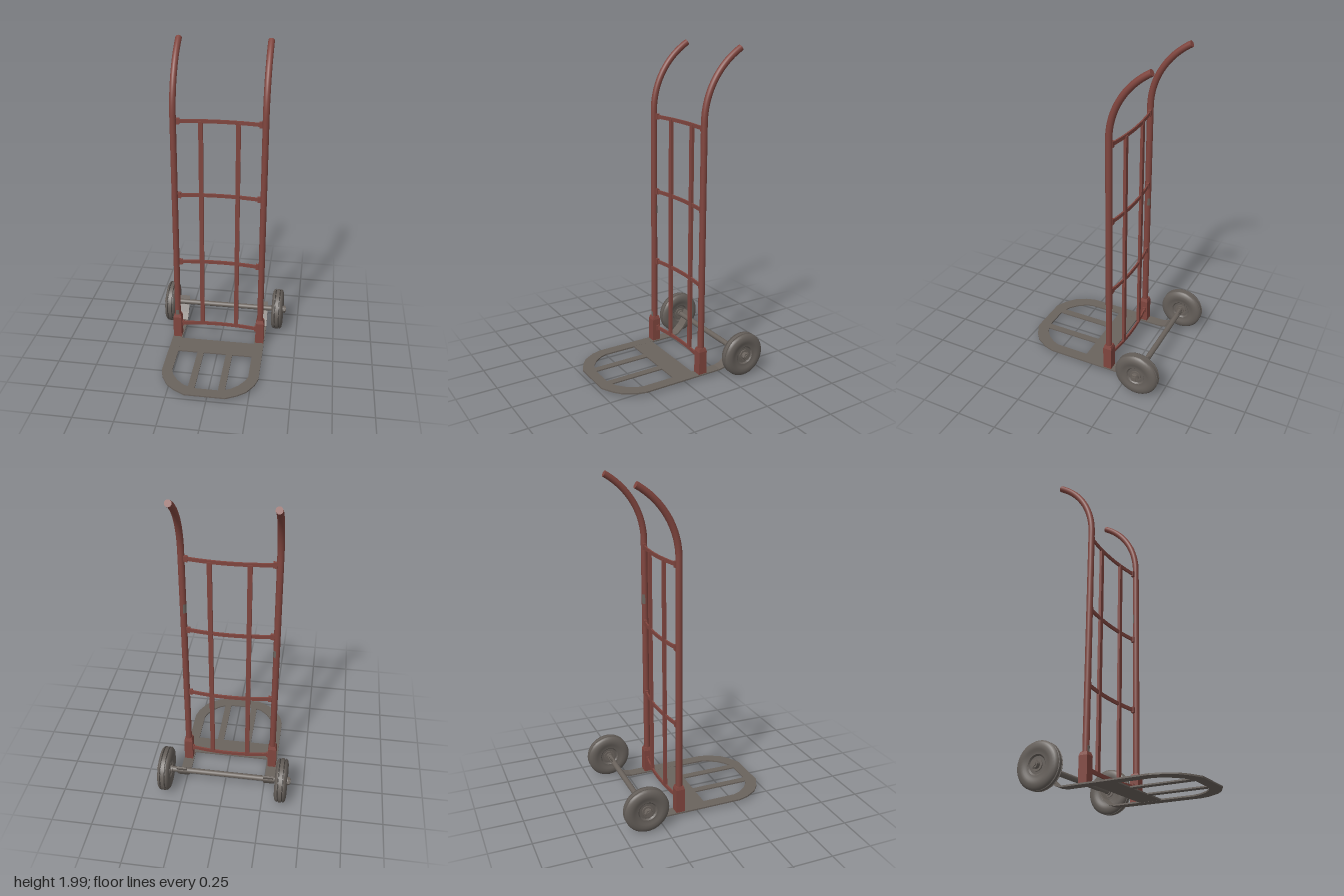
import * as THREE from 'three';
import { toCreasedNormals } from 'three/addons/utils/BufferGeometryUtils.js';

const CX = -0.01;         // frame centre line
const POST_X = 0.274;     // post offset from the centre line
const POST_Z = -0.117;
const AXLE = { y: 0.147, z: -0.355 };

const mat = (name, color, side = THREE.FrontSide) => {
  const m = new THREE.MeshStandardMaterial({ color, side });
  m.name = name;
  return m;
};

export function createModel() {
  const red = mat('worn red paint', 0x80453e);
  const steel = mat('bare steel', 0x6a635d);
  const rubber = mat('grey rubber', 0x645e59);
  const dark = mat('dark groove', 0x35312e);
  const root = new THREE.Group();
  root.name = 'handTruck';

  const add = (name, geo, material, x = 0, y = 0, z = 0, parent = root) => {
    const m = new THREE.Mesh(geo, material);
    m.name = name;
    m.position.set(x, y, z);
    parent.add(m);
    return m;
  };
  const box = (name, w, h, d, material, x, y, z) =>
    add(name, new THREE.BoxGeometry(w, h, d), material, x, y, z);
  // flat outline given as [x, z], raised by a height
  const slab = (outline, height, hole) => {
    const shape = new THREE.Shape(outline.map(([x, z]) => new THREE.Vector2(x, -z)));
    if (hole) shape.holes.push(new THREE.Path(hole.map(([x, z]) => new THREE.Vector2(x, -z))));
    return new THREE.ExtrudeGeometry(shape, { depth: height, bevelEnabled: false }).rotateX(-Math.PI / 2);
  };
  const mirrored = (half) => [...half, ...half.map(([x, z]) => [-x, z]).reverse()];

  // Toe plate: rounded U loop with rear panel and two slats
  const outer = [[0.305, -0.25], [0.305, 0.28], [0.288, 0.34], [0.245, 0.412], [0.195, 0.452], [0.125, 0.488]];
  const inner = [[0.24, -0.25], [0.24, 0.27], [0.226, 0.31], [0.19, 0.362], [0.145, 0.4], [0.085, 0.424]];
  const loop = [...mirrored(outer), ...mirrored(inner.map(([x, z]) => [-x, z]))];
  add('toePlateLoop', slab(loop, 0.009), steel, CX, 0.031, 0);
  box('toePlatePanel', 0.482, 0.008, 0.138, steel, CX, 0.0355, -0.008);
  for (const s of [-1, 1]) {
    box('toePlateSlat', 0.042, 0.008, 0.375, steel, CX + s * 0.093, 0.0355, 0.245);
  }

  // Arms that bend upward from the plate to the axle
  const armLine = [[-0.248, 0.031], [-0.285, 0.04], [-0.325, 0.075], [-0.355, 0.118], [-0.377, 0.178]];
  const armShape = new THREE.Shape([
    ...armLine.map(([z, y]) => new THREE.Vector2(-z, y)),
    ...armLine.map(([z, y]) => new THREE.Vector2(-z - 0.005, y + 0.009)).reverse(),
  ]);
  const armGeo = new THREE.ExtrudeGeometry(armShape, { depth: 0.065, bevelEnabled: false })
    .rotateY(Math.PI / 2).translate(-0.0325, 0, 0);

  // Posts with curved handles
  const path = new THREE.CurvePath();
  const v = (y, z) => new THREE.Vector3(0, y, z);
  path.add(new THREE.LineCurve3(v(0.04, POST_Z), v(1.58, POST_Z)));
  path.add(new THREE.CubicBezierCurve3(v(1.58, POST_Z), v(1.75, POST_Z), v(1.9, -0.21), v(1.984, -0.355)));
  const postGeo = new THREE.TubeGeometry(path, 90, 0.0195, 16, false);
  const capGeo = new THREE.CircleGeometry(0.0195, 16);

  for (const s of [-1, 1]) {
    const x = CX + s * POST_X;
    add('axleArm', armGeo, steel, CX + s * 0.2725);
    add('post', postGeo, red, x);
    const cap = add('handleEnd', capGeo, red, x, 1.984, -0.355);
    cap.lookAt(x, 1.984 + 0.084, -0.355 - 0.145);
    // square socket with a tapered collar
    box('postSocket', 0.054, 0.15, 0.054, red, x, 0.113, POST_Z);
    const collar = new THREE.CylinderGeometry(0.03, 0.038, 0.02, 4).rotateY(Math.PI / 4).toNonIndexed();
    collar.computeVertexNormals();
    add('socketCollar', collar, red, x, 0.198, POST_Z);
  }

  // Crossbars bowed backward, with weld tabs at the posts
  const bowZ = (x) => -0.122 - 0.024 * (1 - (x / 0.262) ** 2);
  const xs = Array.from({ length: 13 }, (_, i) => -0.262 + (0.524 * i) / 12);
  const bow = [
    ...xs.map((x) => [x, bowZ(x) + 0.005]),
    ...xs.map((x) => [x, bowZ(x) - 0.005]).reverse(),
  ];
  const barGeo = toCreasedNormals(slab(bow, 0.022), 0.6);
  for (const y of [0.128, 0.6, 1.07, 1.547]) {
    add('crossbar', barGeo, red, CX, y - 0.011, 0);
    for (const s of [-1, 1]) {
      box('weldTab', 0.022, 0.036, 0.018, red, CX + s * 0.247, y, bowZ(0.247));
    }
  }

  // Two inner uprights
  for (const s of [-1, 1]) {
    box('innerUpright', 0.027, 1.42, 0.017, red, CX + s * 0.1125, 0.838, -0.142);
  }

  // Small worn patches on the posts: [x side, y, height, facing angle]
  for (const [s, y, h, angle] of [[-1, 0.22, 0.045, 0], [1, 1.22, 0.06, 3.9], [-1, 0.95, 0.05, 2.4]]) {
    const patch = new THREE.CylinderGeometry(0.0203, 0.0203, h, 8, 1, true, angle - 0.6, 1.2);
    add('wornPatch', patch, steel, CX + s * POST_X, y, POST_Z);
  }

  // Axle
  add('axle', new THREE.CylinderGeometry(0.017, 0.017, 0.74, 20).rotateZ(Math.PI / 2), steel, 0, AXLE.y, AXLE.z);

  // Wheels: ribbed tyre with dished sides, hub and nut
  const side = [[0.03, 0.022], [0.05, 0.022], [0.058, 0.03], [0.075, 0.031], [0.085, 0.036],
    [0.105, 0.037], [0.122, 0.033], [0.132, 0.025]];
  const tread = [[0.136, 0.018], [0.128, 0.016], [0.128, 0.012], [0.136, 0.01]];
  const half = [...side, ...tread];
  const profile = [...half.map(([r, a]) => [r, -a]), ...[...half].reverse()]
    .map(([r, a]) => new THREE.Vector2(r, a));
  const tyreGeo = toCreasedNormals(new THREE.LatheGeometry(profile, 36), 0.55);
  const turned = (r1, r2, len, n) => new THREE.CylinderGeometry(r1, r2, len, n);
  for (const s of [-1, 1]) {
    const wheel = new THREE.Group();
    wheel.name = s > 0 ? 'leftWheel' : 'rightWheel';
    wheel.position.set(s * 0.364, AXLE.y, AXLE.z);
    wheel.rotation.z = -s * Math.PI / 2;   // local +y points outward
    root.add(wheel);
    add('tyre', tyreGeo, rubber, 0, 0, 0, wheel);
    for (const a of [-0.014, 0.014]) {
      add('treadGroove', new THREE.CylinderGeometry(0.1285, 0.1285, 0.003, 36, 1, true), dark, 0, a, 0, wheel);
    }
    add('hub', turned(0.034, 0.036, 0.056, 20), steel, 0, 0, 0, wheel);
    add('hubSleeve', turned(0.022, 0.022, 0.084, 16), steel, 0, 0.002, 0, wheel);
    const nut = turned(0.024, 0.026, 0.012, 6).toNonIndexed();
    nut.computeVertexNormals();
    add('axleNut', nut, steel, 0, 0.047, 0, wheel);
    add('axleTip', turned(0.014, 0.016, 0.02, 12), steel, 0, 0.048, 0, wheel);
  }

  return root;
}
